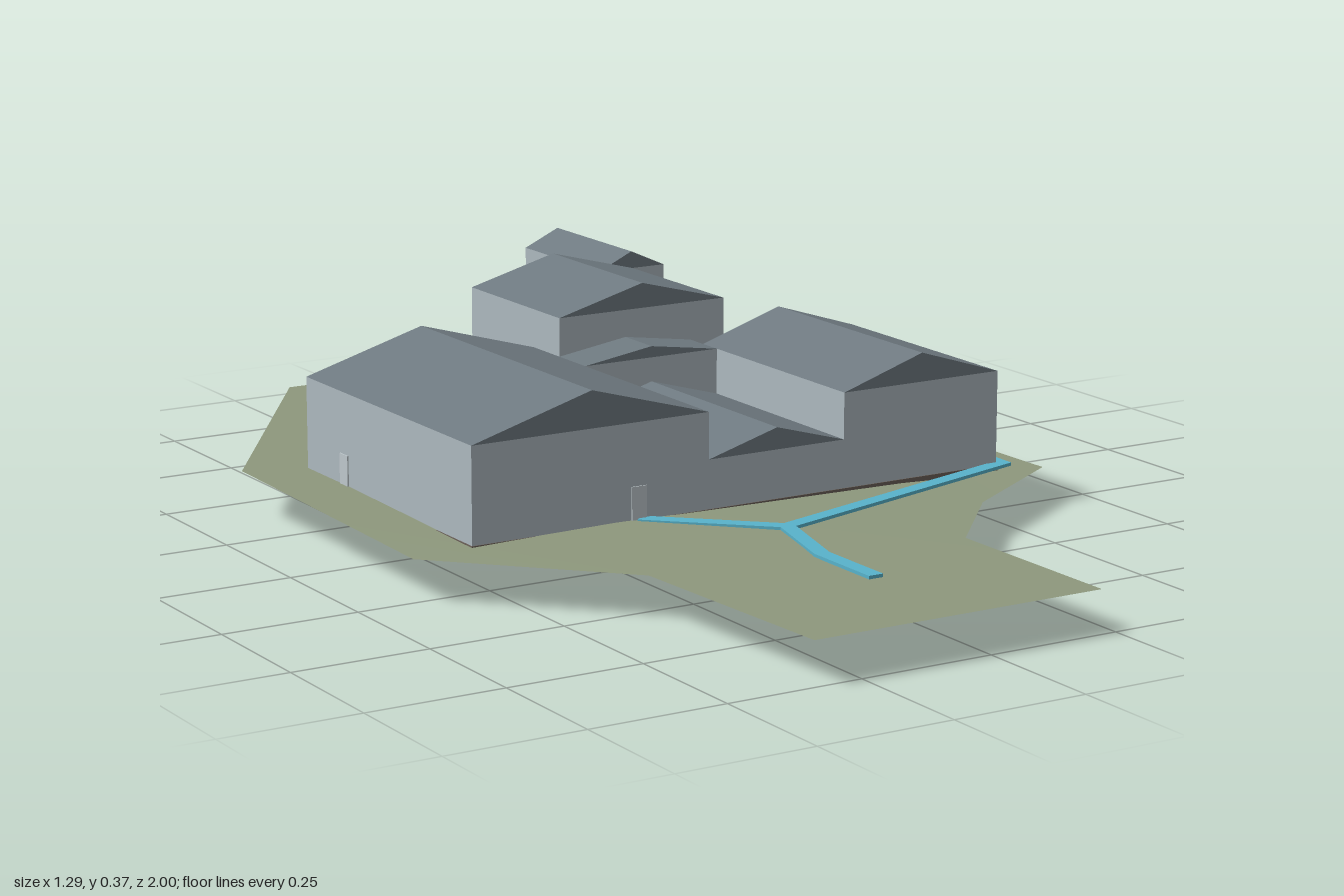
import * as THREE from 'three';

const mat = (name, color) => Object.assign(new THREE.MeshStandardMaterial({ color }), { name });

export function createModel() {
  const wall = mat('wall grey', 0xadb8be);
  const roof = mat('roof slate', 0x6f7a81);
  const footing = mat('footing brown', 0x6a6058);
  const grass = mat('grass green', 0x8e987d);
  const path = mat('path blue', 0x58b3cb);
  const door = mat('door grey', 0xbec8cc);
  grass.side = THREE.DoubleSide;

  const model = new THREE.Group();
  const add = (parent, name, geometry, material) => {
    const mesh = new THREE.Mesh(geometry, material);
    mesh.name = name;
    parent.add(mesh);
    return mesh;
  };
  // box given by its limits
  const box = (parent, name, x0, x1, y0, y1, z0, z1, material) =>
    add(parent, name, new THREE.BoxGeometry(x1 - x0, y1 - y0, z1 - z0), material)
      .position.set((x0 + x1) / 2, (y0 + y1) / 2, (z0 + z1) / 2);

  // walls with a gable roof whose ridge runs along z
  function building(name, x0, x1, z0, z1, base, eave, ridge) {
    const g = new THREE.Group();
    g.name = name;
    model.add(g);
    box(g, 'walls', x0, x1, base, eave, z0, z1, wall);
    const gable = new THREE.Shape([
      new THREE.Vector2(x0, eave), new THREE.Vector2(x1, eave), new THREE.Vector2((x0 + x1) / 2, ridge)]);
    const geo = new THREE.ExtrudeGeometry(gable, { depth: z1 - z0, bevelEnabled: false });
    add(g, 'gableRoof', geo.translate(0, 0, z0), roof);
  }
  building('mainHall', -0.53, -0.06, -0.365, 0.245, 0.07, 0.255, 0.322);
  building('sideHall', 0.222, 0.555, -0.225, 0.245, 0.07, 0.255, 0.308);
  building('lowEntrance', -0.06, 0.222, -0.177, 0.245, 0.07, 0.17, 0.21);
  building('rearLink', -0.06, 0.222, -0.27, -0.177, 0.07, 0.255, 0.276);
  building('tallBlock', -0.06, 0.295, -0.6, -0.27, 0.01, 0.327, 0.374);
  building('tower', 0.22, 0.366, -0.885, -0.6, 0, 0.327, 0.36);
  building('annex', 0.295, 0.537, -0.46, -0.32, 0.07, 0.175, 0.2);
  box(model, 'flatLink', 0.222, 0.295, 0.07, 0.2, -0.27, -0.225, wall);

  // footings and floors under the halls: x0, x1, z0, z1
  [[-0.53, 0.555, -0.225, 0.245], [-0.53, -0.06, -0.365, -0.225]].forEach(([x0, x1, z0, z1]) => {
    box(model, 'footing', x0 - 0.002, x1 + 0.002, 0.065, 0.081, z0 - 0.002, z1 + 0.002, footing);
    box(model, 'floor', x0 + 0.015, x1 - 0.015, 0.063, 0.066, z0 + 0.015, z1 - 0.015, wall);
  });

  // doors: thin plates on the walls
  box(model, 'frontDoor', -0.217, -0.187, 0.08, 0.142, 0.245, 0.2475, door);
  box(model, 'sideHallDoor', 0.555, 0.5575, 0.08, 0.142, -0.003, 0.03, door);
  box(model, 'mainHallSideDoor', -0.5325, -0.53, 0.08, 0.142, -0.235, -0.205, door);
  box(model, 'towerDoor', 0.29, 0.32, 0.08, 0.142, -0.8875, -0.885, door);

  // ground sheet: x, z, height
  const outline = [[-0.25, -1, 0.077], [0.41, -1, 0.077], [0.62, -0.56, 0.07], [0.642, 0.27, 0.07],
    [0.4, 0.42, 0.07], [0.22, 0.62, 0.076], [0.22, 1, 0.077], [-0.34, 1, 0.077],
    [-0.365, 0.545, 0.077], [-0.645, 0.25, 0.076], [-0.645, -0.4, 0.088]];
  const shape = new THREE.Shape(outline.map(([x, z]) => new THREE.Vector2(x, -z)));
  const ground = new THREE.ShapeGeometry(shape).rotateX(-Math.PI / 2);
  const p = ground.attributes.position;
  for (let i = 0; i < p.count; i++) {
    const near = outline.find(([x, z]) => Math.hypot(x - p.getX(i), z - p.getZ(i)) < 0.001);
    p.setY(i, near[2]);
  }
  ground.computeVertexNormals();
  add(model, 'ground', ground, grass);

  // footpaths: mitred slabs along points [x, z]
  function slab(name, points, half = 0.014) {
    const pts = points.map(([x, z]) => new THREE.Vector2(x, -z));
    const dir = i => pts[i + 1].clone().sub(pts[i]).normalize();
    const left = [], right = [];
    pts.forEach((pt, i) => {
      const a = dir(Math.max(i - 1, 0)), b = dir(Math.min(i, pts.length - 2));
      const t = a.clone().add(b).normalize();
      const side = new THREE.Vector2(-t.y, t.x).multiplyScalar(half / Math.max(0.5, t.dot(a)));
      left.push(pt.clone().add(side));
      right.unshift(pt.clone().sub(side));
    });
    const geo = new THREE.ExtrudeGeometry(new THREE.Shape([...left, ...right]), { depth: 0.006, bevelEnabled: false });
    add(model, name, geo.rotateX(-Math.PI / 2).translate(0, 0.079, 0), path);
  }
  slab('entrancePath', [[-0.2, 0.243], [-0.012, 0.42], [-0.06, 0.6], [-0.06, 0.76]]);
  slab('sideHallPath', [[-0.012, 0.42], [0.564, 0.25], [0.564, 0.21]]);
  slab('rearPath', [[0.135, -0.605], [0.235, -0.785]]);
  slab('annexPath', [[0.33, -0.455], [0.36, -0.465]]);

  return model;
}
